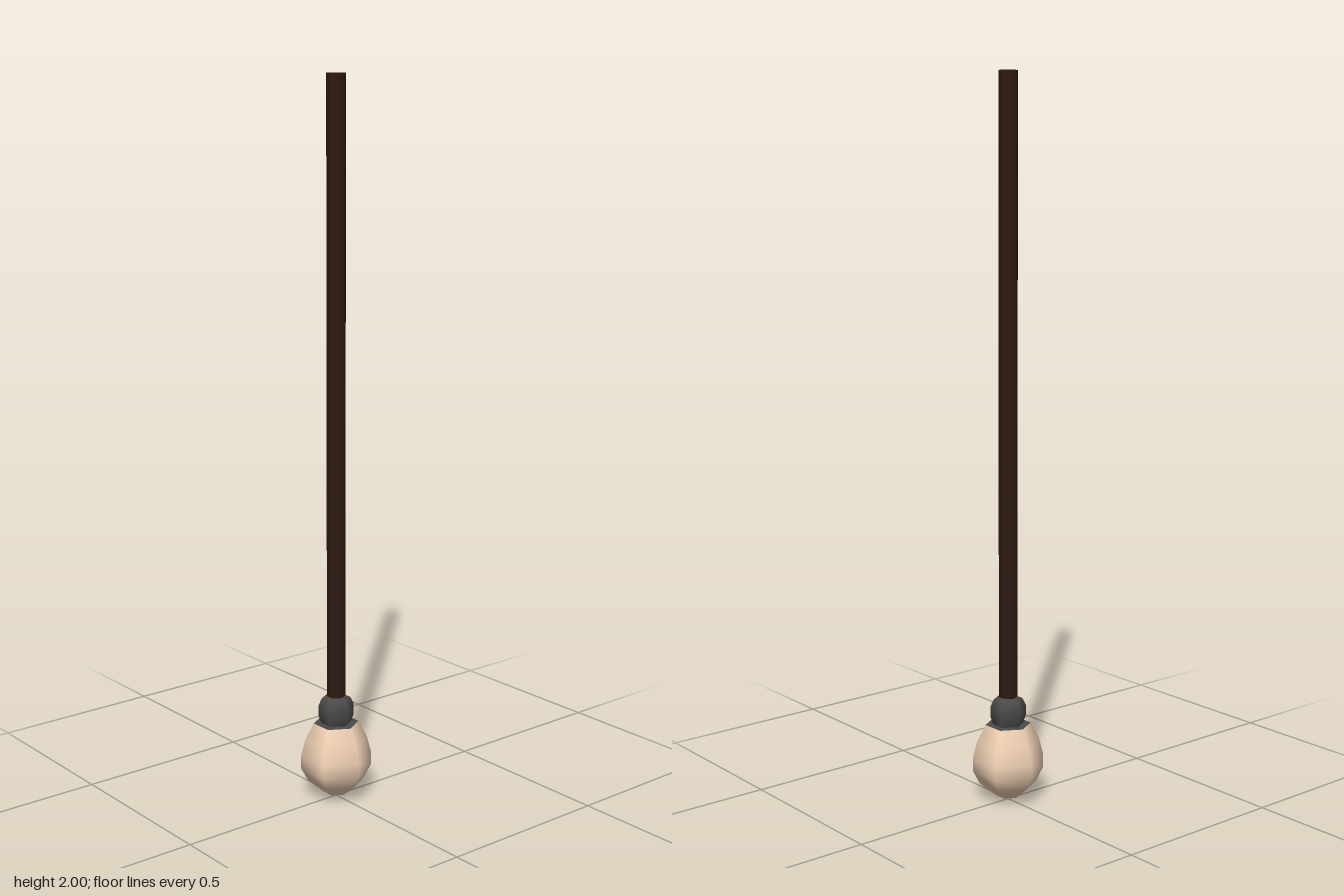
import * as THREE from 'three';

const SIDES = 6;

// Six-sided turned part with corners on +z and -z; points are [radius, height], bottom to top
function turned(name, color, points) {
  const profile = points.map(([r, y]) => new THREE.Vector2(r, y));
  const mesh = new THREE.Mesh(
    new THREE.LatheGeometry(profile, SIDES),
    new THREE.MeshStandardMaterial({ color, side: THREE.DoubleSide })
  );
  mesh.name = name;
  return mesh;
}

export function createModel() {
  const model = new THREE.Group();
  model.name = 'hangingBulb';

  // Glass bulb, pointed at the bottom
  model.add(turned('bulb', 0xf0d0b4, [
    [0, 0], [0.035, 0.013], [0.08, 0.05], [0.1, 0.088],
    [0.1, 0.125], [0.088, 0.172], [0.064, 0.22],
  ]));

  // Flat plate closing the top of the bulb
  model.add(turned('socketPlate', 0x4a4a4a, [[0.063, 0.22], [0.04, 0.221]]));

  // Rounded socket
  model.add(turned('socket', 0x4a4a4a, [
    [0.042, 0.22], [0.05, 0.243], [0.05, 0.272], [0.041, 0.292], [0.024, 0.3],
  ]));

  // Long cord with a pale cut end
  model.add(turned('cord', 0x2e1c12, [[0.026, 0.29], [0.026, 2]]));
  model.add(turned('cordEnd', 0xf0d0b4, [[0.026, 2], [0, 2]]));

  return model;
}
